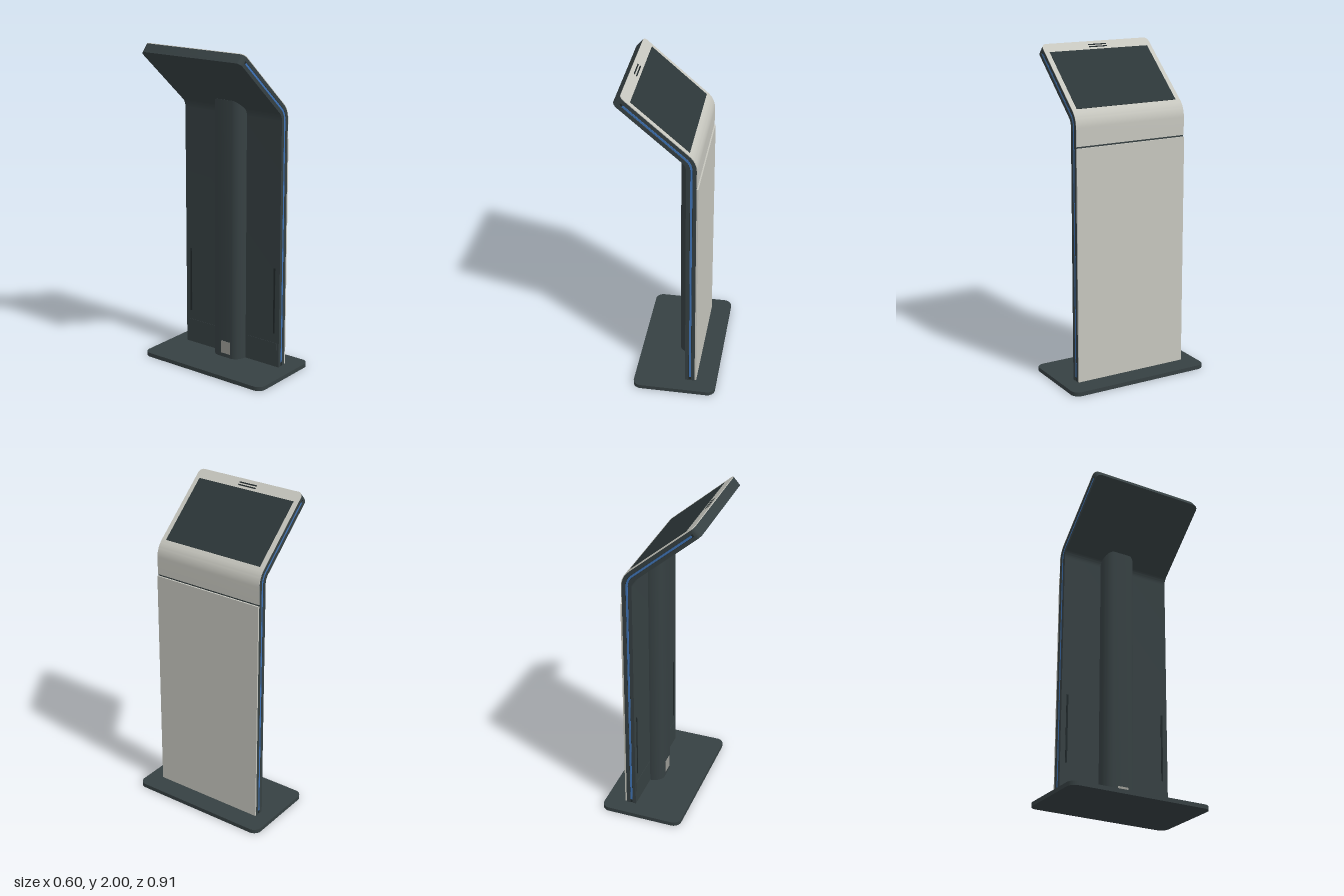
import * as THREE from 'three';
import { toCreasedNormals } from 'three/addons/utils/BufferGeometryUtils.js';

const mat = (color) => new THREE.MeshStandardMaterial({ color, side: THREE.DoubleSide });
const DARK = mat(0x364042), DEEP = mat(0x20282a), SKIN = mat(0xc6c6be),
  SCREEN = mat(0x2c3638), BLUE = mat(0x3f74b8), GREY = mat(0x999994);

// Path of the outer face: straight up, a bend, then the leaning head
const X = 0.168, Y0 = 0.025, R = 0.13, TURN = 0.85, HEAD = 0.505, HALF = 0.363;
const RISE = 1.626 - R * Math.tan(TURN / 2) - Y0;
const ARC = R * TURN, END = RISE + ARC + HEAD;

function frame(s) {
  const a = THREE.MathUtils.clamp((s - RISE) / R, 0, TURN);
  const n = new THREE.Vector2(Math.cos(a), Math.sin(a));
  const p = new THREE.Vector2(X - R, Y0 + RISE).addScaledVector(n, R);
  const along = s < RISE ? s - RISE : Math.max(0, s - RISE - ARC);
  return { n, p: p.add(new THREE.Vector2(-n.y, n.x).multiplyScalar(along)) };
}

// Layer that follows the path, between depths d0 and d1 and from z0 to z1;
// r rounds the two corners at its far end
function layer(s0, s1, d0, d1, z0, z1, r = 0) {
  const stations = [[s0, 0]];
  for (let i = 0; i <= 12; i++) {
    const s = RISE + ARC * i / 12;
    if (s > s0 && s < s1 - r) stations.push([s, 0]);
  }
  if (r) {
    for (let i = 0; i <= 8; i++) {
      const a = Math.PI / 2 * i / 8;
      stations.push([s1 - r + r * Math.sin(a), r * (1 - Math.cos(a))]);
    }
  } else stations.push([s1, 0]);
  const pos = [], idx = [0, 1, 2, 0, 2, 3];
  stations.forEach(([s, inset], i) => {
    const { n, p } = frame(s);
    for (const [d, z] of [[d0, z0 + inset], [d0, z1 - inset], [d1, z1 - inset], [d1, z0 + inset]])
      pos.push(p.x - n.x * d, p.y - n.y * d, z);
    if (i) for (let k = 0; k < 4; k++) {
      const a = i * 4 - 4 + k, b = i * 4 - 4 + (k + 1) % 4;
      idx.push(a, a + 4, b + 4, a, b + 4, b);
    }
  });
  const e = stations.length * 4 - 4;
  idx.push(e, e + 2, e + 1, e, e + 3, e + 2);
  const g = new THREE.BufferGeometry();
  g.setAttribute('position', new THREE.Float32BufferAttribute(pos, 3));
  g.setIndex(idx);
  return toCreasedNormals(g, 0.5);
}

// Shape drawn in plan, extruded upwards from y
function upright(shape, y, height) {
  const g = new THREE.ExtrudeGeometry(shape, { depth: height, bevelEnabled: false, curveSegments: 10 });
  return toCreasedNormals(g.rotateX(-Math.PI / 2).translate(0, y, 0), 0.5);
}

export function createModel() {
  const group = new THREE.Group();
  const add = (name, geometry, material) => {
    const m = new THREE.Mesh(geometry, material);
    m.name = name;
    group.add(m);
  };
  const box = (name, w, h, d, x, y, z, material) =>
    add(name, new THREE.BoxGeometry(w, h, d).translate(x, y, z), material);

  // Base plate with rounded corners
  const x0 = -0.212, x1 = 0.298, w = 0.457, r = 0.05;
  const plate = new THREE.Shape();
  plate.absarc(x1 - r, w - r, r, 0, Math.PI / 2);
  plate.absarc(x0 + r, w - r, r, Math.PI / 2, Math.PI);
  plate.absarc(x0 + r, r - w, r, Math.PI, Math.PI * 1.5);
  plate.absarc(x1 - r, r - w, r, Math.PI * 1.5, Math.PI * 2);
  add('basePlate', upright(plate, 0, Y0), DARK);

  // Bent body in three layers; the narrower middle one leaves a side groove
  add('bodyFront', layer(0, END, 0.004, 0.026, -HALF, HALF, 0.03), DARK);
  add('bodyCore', layer(0, END - 0.015, 0.026, 0.042, -HALF + 0.004, HALF - 0.004, 0.03), DEEP);
  add('bodyTip', layer(END - 0.03, END, 0.026, 0.042, -HALF, HALF, 0.03), DARK);
  add('bodyBack', layer(0, END, 0.042, 0.064, -HALF, HALF, 0.03), DARK);

  // Pale front covers, split by a seam
  add('lowerCover', layer(0.005, 1.425, -0.006, 0.004, -HALF, HALF), SKIN);
  add('upperCover', layer(1.435, END, 0, 0.004, -HALF, HALF, 0.03), SKIN);

  // Screen and the two slots above it
  add('screen', layer(END - 0.5, END - 0.066, -0.002, 0.002, -0.333, 0.333), SCREEN);
  for (const s of [0.024, 0.041])
    add('slot', layer(END - s - 0.008, END - s, -0.001, 0.002, -0.061, 0.061), DEEP);

  // Blue light strips in the side grooves
  for (const side of [-1, 1]) {
    const z = side * (HALF - 0.003);
    add('lightStrip', layer(0.025, END - 0.045, 0.028, 0.04, z - 0.002, z + 0.002), BLUE);
  }

  // Rear spine with rounded flanks, and its socket plate
  const spine = new THREE.Shape();
  spine.moveTo(0.11, -0.11);
  spine.lineTo(0.11, 0.11);
  spine.lineTo(0.1, 0.11);
  spine.quadraticCurveTo(0.04, 0.1, 0.03, 0.055);
  spine.lineTo(0.03, -0.055);
  spine.quadraticCurveTo(0.04, -0.1, 0.1, -0.11);
  add('spine', upright(spine, Y0, 1.635), DARK);
  box('socketPlate', 0.004, 0.08, 0.07, 0.03, 0.09, 0.01, GREY);

  // Rear access panels and vents
  for (const side of [-1, 1]) {
    box('accessPanel', 0.004, 0.15, 0.22, 0.104, 0.105, side * 0.235, DARK);
    box('ventSlot', 0.004, 0.42, 0.012, 0.104, 0.45, side * 0.325, DEEP);
  }
  return group;
}
